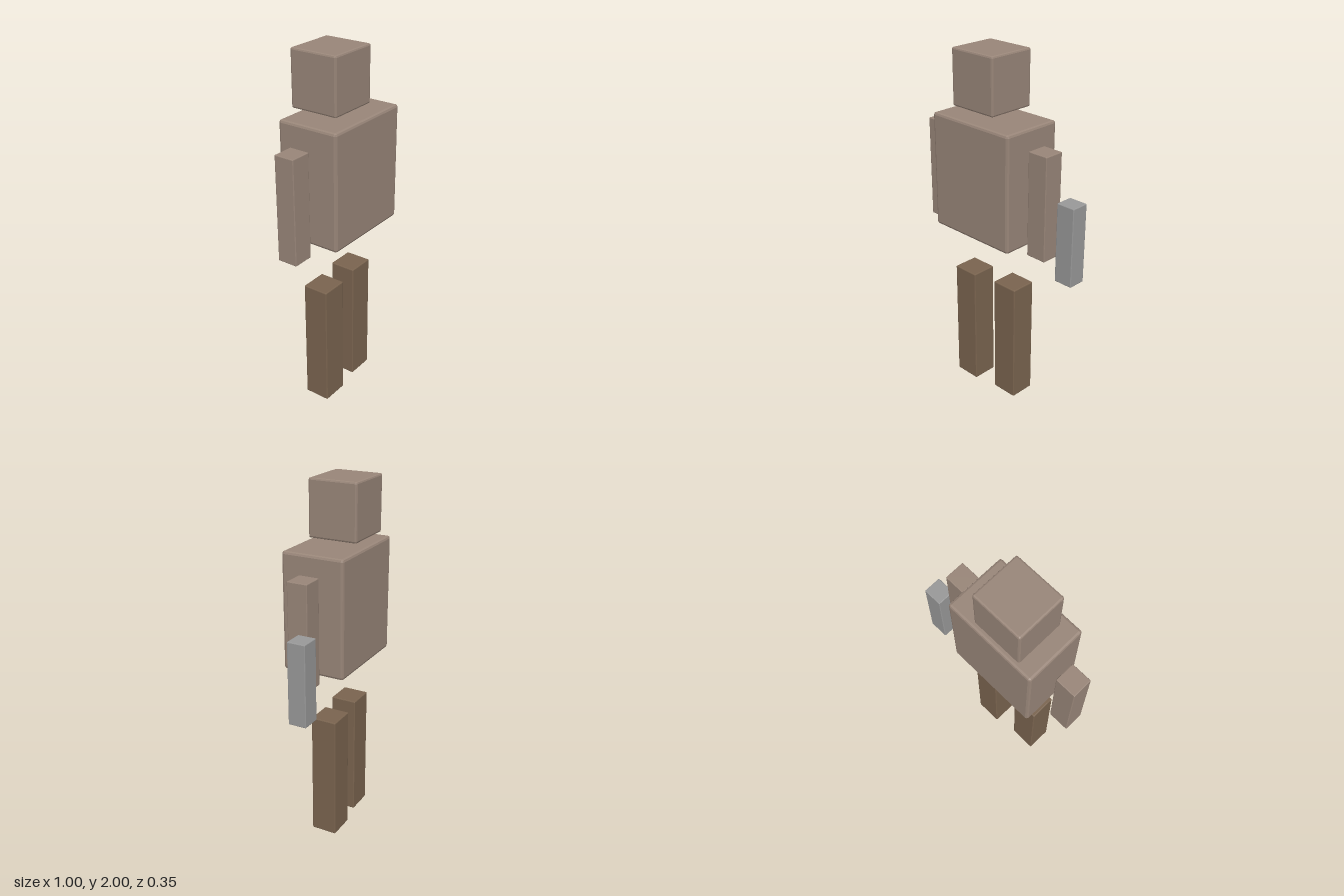
import * as THREE from 'three';
import { RoundedBoxGeometry } from 'three/addons/geometries/RoundedBoxGeometry.js';

const skin = new THREE.MeshStandardMaterial({ color: 0x998679 });
skin.name = 'warm taupe';
const cloth = new THREE.MeshStandardMaterial({ color: 0x7a644f });
cloth.name = 'brown';
const metal = new THREE.MeshStandardMaterial({ color: 0x999999 });
metal.name = 'grey';

// Chamfered block given by its limits on each axis
function block(name, material, [x0, x1], [y0, y1], [z0, z1], bevel) {
  const geometry = new RoundedBoxGeometry(x1 - x0, y1 - y0, z1 - z0, 1, bevel);
  geometry.computeVertexNormals(); // crisp facets
  const mesh = new THREE.Mesh(geometry, material);
  mesh.name = name;
  mesh.position.set((x0 + x1) / 2, (y0 + y1) / 2, (z0 + z1) / 2);
  return mesh;
}

export function createModel() {
  const figure = new THREE.Group();
  figure.name = 'blockFigure';

  // Head and body
  figure.add(block('head', skin, [-0.236, 0.056], [1.693, 2], [-0.162, 0.114], 0.01));
  figure.add(block('torso', skin, [-0.323, 0.223], [1.01, 1.655], [-0.177, 0.177], 0.014));

  // Arms
  for (const [name, x] of [['rightArm', -0.5], ['leftArm', 0.252]]) {
    figure.add(block(name, skin, [x, x + 0.12], [0.977, 1.555], [-0.057, 0.057], 0.004));
  }

  // Legs, the right one a little further forward
  for (const [name, x, z] of [['rightLeg', -0.285, -0.07], ['leftLeg', 0, -0.097]]) {
    figure.add(block(name, cloth, [x, x + 0.156], [0, 0.714], [z, z + 0.147], 0.005));
  }

  // Grey block carried beside the left arm
  figure.add(block('heldBlock', metal, [0.387, 0.497], [0.848, 1.296], [-0.115, -0.014], 0.004));

  return figure;
}
